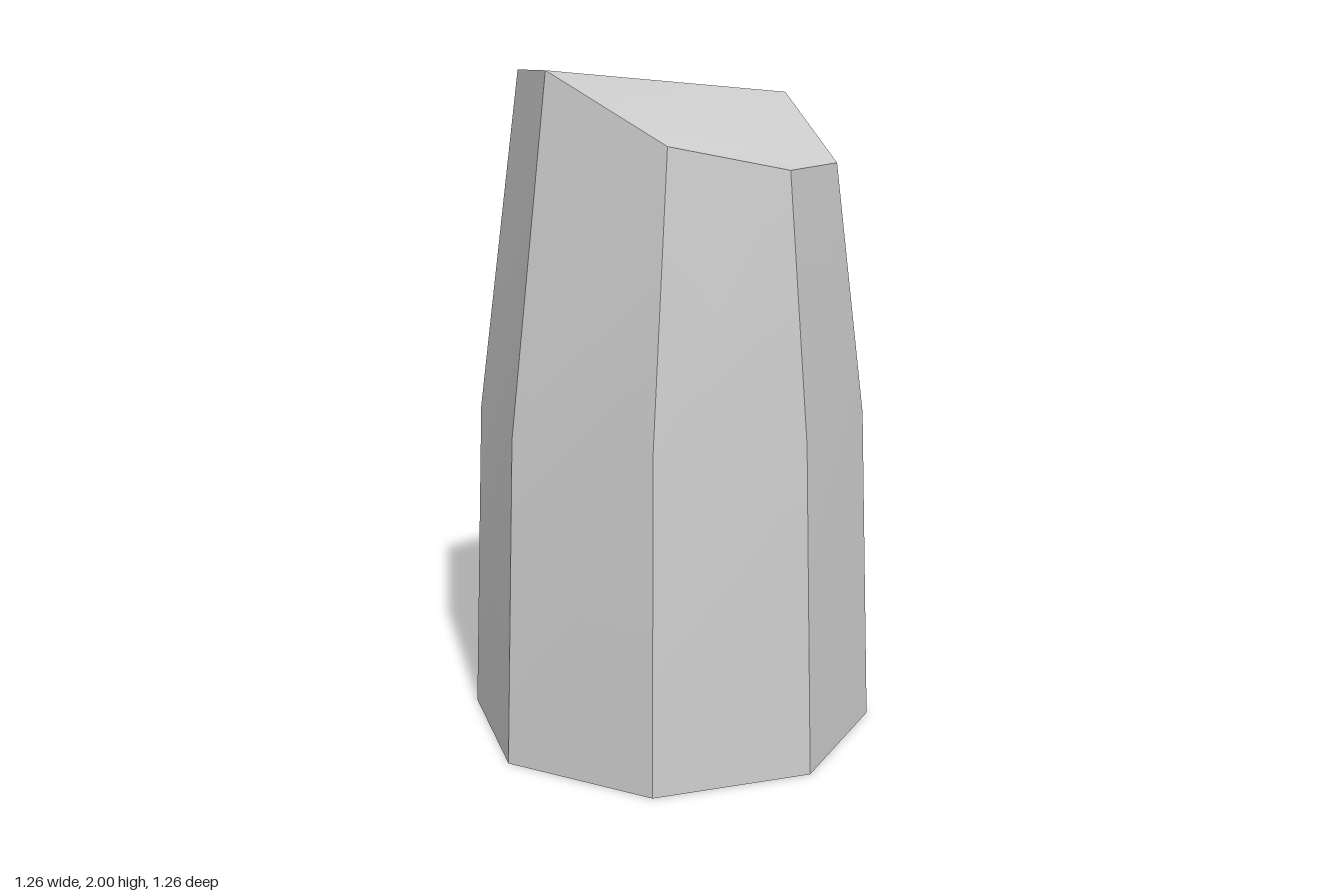
import * as THREE from 'three';
import { mergeGeometries } from 'three/addons/utils/BufferGeometryUtils.js';

const SIDES = 8;

// Cut rim of the stump, going round from +x towards +z
const RIM = [
  [0.505, 1.735, 0], [0.37, 1.805, 0.325], [0.015, 2, 0.46], [-0.31, 2, 0.325],
  [-0.445, 1.86, 0], [-0.31, 1.93, -0.325], [0.015, 1.93, -0.46], [0.37, 1.735, -0.325],
];

function ring(radius, y) {
  return Array.from({ length: SIDES }, (_, i) => {
    const a = (i / SIDES) * Math.PI * 2;
    return [radius * Math.cos(a), y, radius * Math.sin(a)];
  });
}

function surface(points, index) {
  const g = new THREE.BufferGeometry();
  g.setAttribute('position', new THREE.Float32BufferAttribute(points.flat(), 3));
  g.setIndex(index);
  g.computeVertexNormals();
  return g;
}

export function createModel() {
  const group = new THREE.Group();
  group.name = 'facetedPillar';
  const material = new THREE.MeshStandardMaterial({ color: 0xcccccc, side: THREE.DoubleSide });

  // Eight side panels: hard vertical edges, soft bend at mid height, open below
  const rings = [ring(0.628, 0), ring(0.588, 0.98), RIM];
  const panels = [];
  for (let i = 0; i < SIDES; i++) {
    const points = rings.flatMap((r) => [r[i], r[(i + 1) % SIDES]]);
    panels.push(surface(points, [0, 2, 1, 1, 2, 3, 2, 4, 3, 3, 4, 5]));
  }
  const walls = new THREE.Mesh(mergeGeometries(panels), material);
  walls.name = 'sideWalls';
  group.add(walls);

  // Slanted cap: strips running across from the front rim to the back rim
  const index = [7, 1, 0];
  for (let f = 1; f < 3; f++) {
    const b = SIDES - f;
    index.push(b, b - 1, f, f, b - 1, f + 1);
  }
  index.push(3, 5, 4);
  const cap = new THREE.Mesh(surface(RIM, index), material);
  cap.name = 'slantedCap';
  group.add(cap);

  return group;
}
